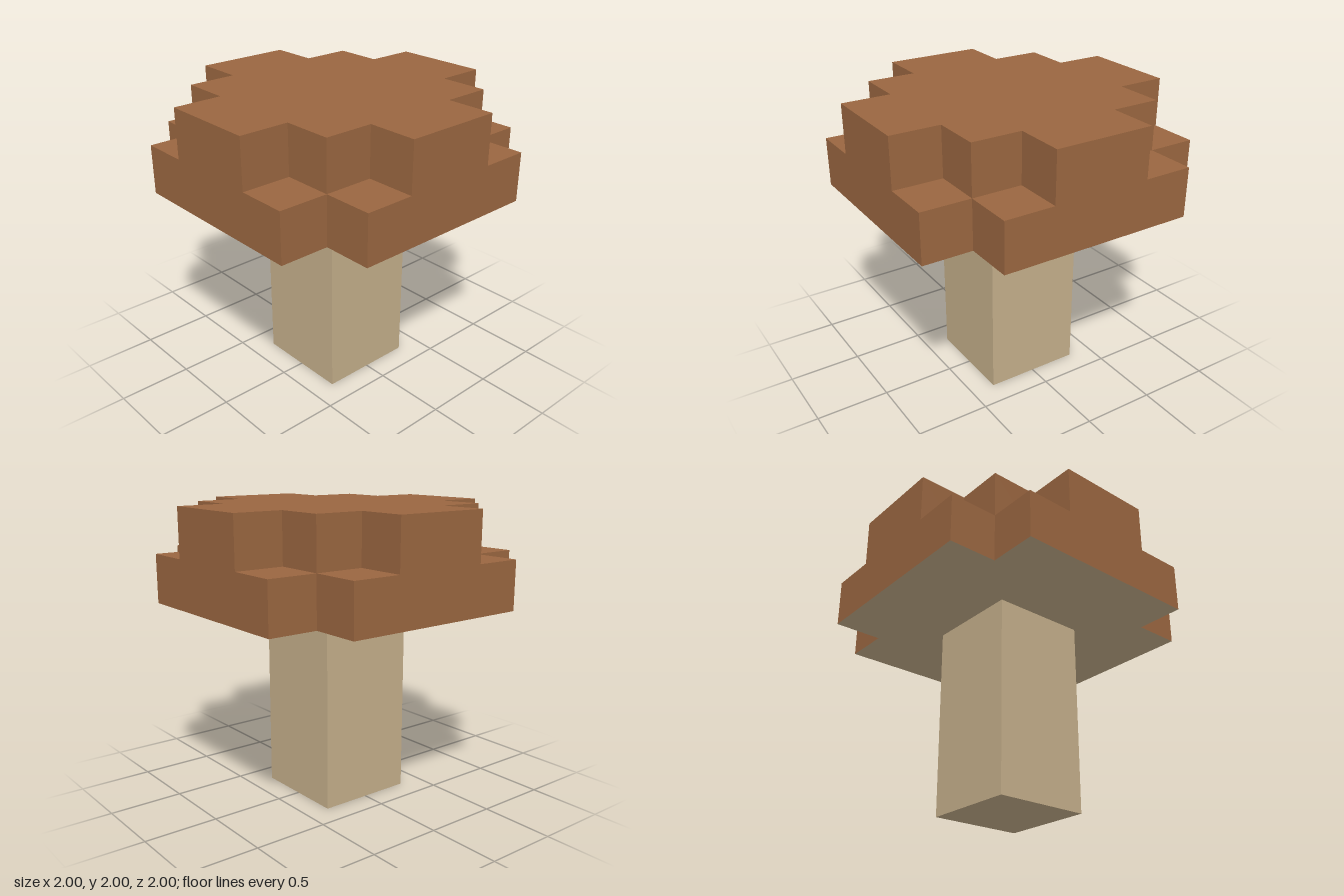
import * as THREE from 'three';

const U = 1 / 3; // one block of the model

// Plus-shaped outline: a square of half-width `mid` with arms of half-width `arm` reaching 1
function crossShape(arm, mid) {
  const corner = [[1, arm], [mid, arm], [mid, mid], [arm, mid], [arm, 1]];
  const pts = [];
  for (let q = 0; q < 4; q++) {
    for (const [x, y] of corner) {
      const p = [[x, y], [-y, x], [-x, -y], [y, -x]][q];
      // skip the doubled points when the notch is a single step
      const last = pts[pts.length - 1];
      if (!last || last.x !== p[0] || last.y !== p[1]) pts.push(new THREE.Vector2(...p));
    }
  }
  return new THREE.Shape(pts);
}

// Plain notched square: square of side 2 with its corners cut out
function notchedShape(a) {
  const pts = [[1, -a], [1, a], [a, a], [a, 1], [-a, 1], [-a, a],
    [-1, a], [-1, -a], [-a, -a], [-a, -1], [a, -1], [a, -a]];
  return new THREE.Shape(pts.map(([x, y]) => new THREE.Vector2(x, y)));
}

// Upright slab standing on height y
function slab(shape, y) {
  const g = new THREE.ExtrudeGeometry(shape, { depth: U, bevelEnabled: false });
  g.rotateX(-Math.PI / 2);
  g.translate(0, y, 0);
  return g;
}

export function createModel() {
  const model = new THREE.Group();
  model.name = 'mushroom';
  const capBrown = new THREE.MeshStandardMaterial({ color: 0x9a6640 });
  capBrown.name = 'capBrown';
  const stemBeige = new THREE.MeshStandardMaterial({ color: 0xc4ae8a });
  stemBeige.name = 'stemBeige';

  const add = (name, geometry, material) => {
    const mesh = new THREE.Mesh(geometry, material);
    mesh.name = name;
    model.add(mesh);
  };

  // Square stem
  const stem = new THREE.BoxGeometry(2 * U, 4 * U, 2 * U);
  stem.translate(0, 2 * U, 0);
  add('stem', stem, stemBeige);

  // Lower cap tier: beige underside, brown everywhere else
  const rim = slab(notchedShape(2 * U), 4 * U);
  const under = rim.groups[0].count / 2;
  rim.clearGroups();
  rim.addGroup(0, under, 1);
  rim.addGroup(under, rim.attributes.position.count - under, 0);
  add('capRim', rim, [capBrown, stemBeige]);

  // Upper cap tier with narrower arms
  add('capTop', slab(crossShape(U, 2 * U), 5 * U), capBrown);

  return model;
}
